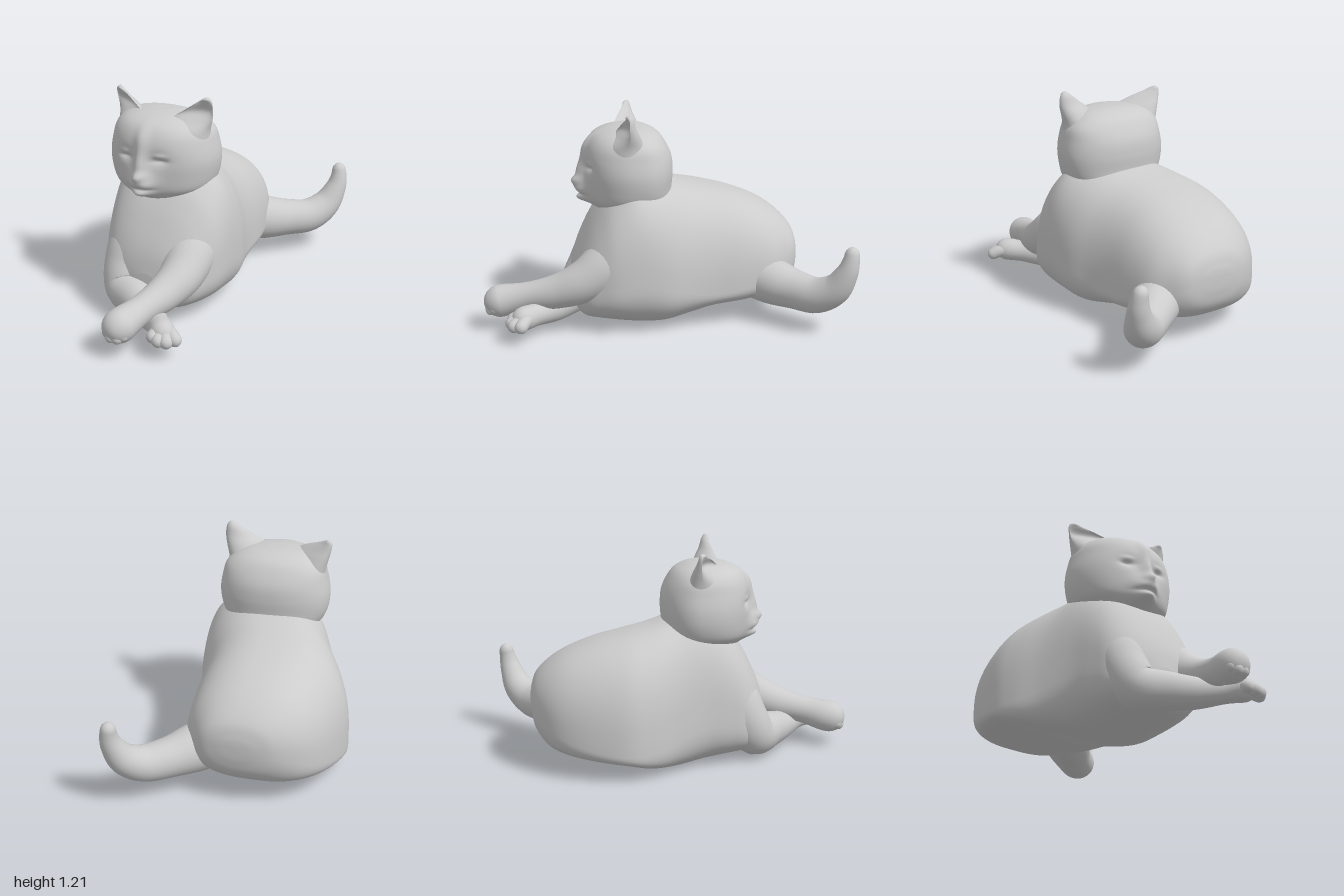
import * as THREE from 'three';

const material = new THREE.MeshStandardMaterial({ color: 0xcccccc });

// Smoothly interpolated row of a table, t in 0..1
function rowAt(rows, t) {
  const f = t * (rows.length - 1);
  const i = Math.min(Math.floor(f), rows.length - 2);
  const u = f - i;
  const a = rows[Math.max(i - 1, 0)], b = rows[i], c = rows[i + 1];
  const d = rows[Math.min(i + 2, rows.length - 1)];
  return b.map((p1, k) => {
    const m1 = (c[k] - a[k]) / 2, m2 = (d[k] - p1) / 2, e = c[k] - p1;
    return p1 + u * (m1 + u * (3 * e - 2 * m1 - m2 + u * (m1 + m2 - 2 * e)));
  });
}

// Closed smooth skin over rings of points; winding is fixed by signed volume
function skin(name, rings) {
  const n = rings[0].length, pos = [], idx = [];
  rings.forEach(r => r.forEach(p => pos.push(p.x, p.y, p.z)));
  for (let i = 0; i < rings.length - 1; i++) {
    for (let j = 0; j < n; j++) {
      const a = i * n + j, b = i * n + (j + 1) % n;
      idx.push(a, b, a + n, b, b + n, a + n);
    }
  }
  [0, rings.length - 1].forEach(i => {
    const c = new THREE.Vector3();
    rings[i].forEach(p => c.addScaledVector(p, 1 / n));
    const ci = pos.length / 3;
    pos.push(c.x, c.y, c.z);
    for (let j = 0; j < n; j++) {
      const a = i * n + j, b = i * n + (j + 1) % n;
      if (i === 0) idx.push(ci, b, a); else idx.push(ci, a, b);
    }
  });
  const v = k => new THREE.Vector3().fromArray(pos, k * 3);
  let volume = 0;
  for (let k = 0; k < idx.length; k += 3) volume += v(idx[k]).dot(v(idx[k + 1]).cross(v(idx[k + 2])));
  if (volume < 0) idx.reverse();
  const g = new THREE.BufferGeometry();
  g.setAttribute('position', new THREE.Float32BufferAttribute(pos, 3));
  g.setIndex(idx);
  g.computeVertexNormals();
  const mesh = new THREE.Mesh(g, material);
  mesh.name = name;
  return mesh;
}

// Rings from a table of cross-sections; place(row, cos, sin) gives each point
function loft(name, rows, steps, sides, place) {
  const rings = [];
  for (let i = 0; i <= steps; i++) {
    const row = rowAt(rows, i / steps), ring = [];
    for (let j = 0; j < sides; j++) {
      const a = (j / sides) * Math.PI * 2;
      ring.push(place(row, Math.cos(a), Math.sin(a)));
    }
    rings.push(ring);
  }
  return skin(name, rings);
}

// Round limb along points [x, y, z, radius], with a rounded far end
function limb(name, pts, steps = 56, sides = 28) {
  const at = t => rowAt(pts, t);
  const end = new THREE.Vector3(...pts[pts.length - 1].slice(0, 3));
  const normal = new THREE.Vector3(0.1, 1, 0.15), rings = [];
  for (let i = 0; i <= steps; i++) {
    const t = Math.sin((Math.PI / 2) * (i / steps));
    const row = at(t), p = new THREE.Vector3(row[0], row[1], row[2]);
    const q0 = at(Math.max(t - 0.01, 0)), q1 = at(Math.min(t + 0.01, 1));
    const tan = new THREE.Vector3(q1[0] - q0[0], q1[1] - q0[1], q1[2] - q0[2]).normalize();
    normal.addScaledVector(tan, -normal.dot(tan)).normalize();
    const side = tan.clone().cross(normal);
    const s = Math.min(p.distanceTo(end) / row[3], 1);
    const r = Math.max(row[3] * Math.sqrt(1 - (1 - s) ** 2), 0.001);
    rings.push(Array.from({ length: sides }, (_, j) => {
      const a = (j / sides) * Math.PI * 2;
      return p.clone().addScaledVector(normal, r * Math.cos(a)).addScaledVector(side, r * Math.sin(a));
    }));
  }
  return skin(name, rings);
}

const power = (v, n) => Math.sign(v) * Math.abs(v) ** (2 / n);

// Face relief: offset from the nose line, y, spread x, spread y, height
const eye = side => [
  [side * 0.10, 0.90, 0.05, 0.035, -0.022],
  [side * 0.105, 0.915, 0.036, 0.016, 0.016],
  [side * 0.105, 0.888, 0.036, 0.008, -0.008],
  [side * 0.04, 0.755, 0.032, 0.024, 0.012],
];
const relief = [
  [0, 0.765, 0.085, 0.06, 0.052],  // muzzle
  [0, 0.86, 0.034, 0.075, 0.04],   // nose bridge
  [0, 1.0, 0.036, 0.07, 0.02],     // brow ridge
  [0, 0.805, 0.036, 0.024, 0.022], // nose tip
  [0, 0.732, 0.06, 0.009, -0.012], // mouth
  [0, 0.70, 0.06, 0.026, 0.05],    // chin
  ...eye(-1), ...eye(1),
];
const faceHeight = (x, y) => relief.reduce((sum, [dx, cy, sx, sy, h]) =>
  sum + h * Math.exp(-(((x + 0.089 - dx) / sx) ** 2 + ((y - cy) / sy) ** 2)), 0);

export function createModel() {
  const cat = new THREE.Group();
  cat.name = 'lyingCat';

  // Torso: z, left edge, centre x, right edge, bottom, centre y, top, squareness above and at the lower left
  cat.add(loft('torso', [
    [-0.801, -0.12, -0.10, -0.08, 0.35, 0.37, 0.385, 2.2, 2.2],
    [-0.795, -0.21, -0.10, 0.01, 0.28, 0.36, 0.43, 2.2, 2.3],
    [-0.77, -0.31, -0.11, 0.10, 0.20, 0.34, 0.50, 2.3, 2.6],
    [-0.70, -0.42, -0.13, 0.17, 0.13, 0.30, 0.575, 2.3, 3.2],
    [-0.60, -0.50, -0.15, 0.23, 0.105, 0.26, 0.64, 2.35, 4],
    [-0.45, -0.56, -0.15, 0.255, 0.09, 0.22, 0.70, 2.45, 5],
    [-0.28, -0.59, -0.15, 0.265, 0.075, 0.20, 0.745, 2.5, 6],
    [-0.15, -0.555, -0.13, 0.285, 0.035, 0.22, 0.775, 2.5, 5],
    [0.00, -0.47, -0.08, 0.325, 0.003, 0.26, 0.815, 2.6, 3.5],
    [0.15, -0.40, -0.05, 0.335, 0.01, 0.30, 0.835, 2.8, 3],
    [0.28, -0.36, -0.05, 0.325, 0.03, 0.28, 0.75, 2.7, 3],
    [0.37, -0.33, -0.05, 0.29, 0.045, 0.25, 0.63, 2.5, 3],
    [0.44, -0.28, -0.05, 0.24, 0.06, 0.22, 0.49, 2.4, 3],
    [0.48, -0.20, -0.03, 0.16, 0.10, 0.22, 0.38, 2.3, 2.6],
    [0.50, -0.08, -0.03, 0.03, 0.18, 0.22, 0.27, 2.2, 2.2],
  ], 98, 72, ([z, xl, cx, xr, yb, cy, yt, nTop, nLow], c, s) => {
    const n = s > 0 ? nTop : c < 0 ? nLow : 2.5;
    return new THREE.Vector3(
      cx + power(c, n) * (c > 0 ? xr - cx : cx - xl),
      cy + power(s, n) * (s > 0 ? yt - cy : cy - yb), z);
  }));

  // Head: y, centre x, half width, back, centre z, front
  const head = new THREE.Group();
  head.name = 'head';
  head.add(loft('skull', [
    [0.60, -0.07, 0.12, 0.02, 0.14, 0.28],
    [0.645, -0.07, 0.18, -0.03, 0.14, 0.335],
    [0.68, -0.072, 0.235, -0.06, 0.14, 0.37],
    [0.72, -0.072, 0.277, -0.075, 0.14, 0.393],
    [0.79, -0.074, 0.302, -0.075, 0.13, 0.405],
    [0.87, -0.073, 0.309, -0.08, 0.13, 0.412],
    [0.95, -0.073, 0.296, -0.072, 0.13, 0.41],
    [1.02, -0.075, 0.275, -0.04, 0.13, 0.39],
    [1.07, -0.08, 0.225, 0.0, 0.14, 0.35],
    [1.10, -0.08, 0.15, 0.06, 0.15, 0.28],
    [1.112, -0.08, 0.05, 0.12, 0.16, 0.20],
  ], 110, 140, ([y, cx, w, zb, zc, zf], c, s) => {
    const x = cx + w * power(c, 2.15);
    const z = zc + power(s, 2.15) * (s > 0 ? zf - zc : zc - zb);
    return new THREE.Vector3(x, y, z + faceHeight(x, y) * THREE.MathUtils.smoothstep(s, 0.2, 0.7));
  }));

  // Ears: y, inner x, outer x, inner z, outer z, depth, front bulge (negative = hollow)
  const ear = (name, rows) => head.add(loft(name, rows, 36, 40,
    ([y, xi, xo, zi, zo, d, bulge], c, s) => new THREE.Vector3(
      (xi + xo) / 2 + c * (xo - xi) / 2, y,
      (zi + zo) / 2 + c * (zo - zi) / 2 + d * s * (s > 0 ? bulge : 1))));
  ear('leftEar', [
    [0.96, -0.04, 0.205, 0.25, 0.19, 0.12, 0.9],
    [1.03, -0.03, 0.207, 0.25, 0.19, 0.11, 0.8],
    [1.09, 0.01, 0.222, 0.245, 0.195, 0.085, 0.25],
    [1.14, 0.08, 0.23, 0.23, 0.20, 0.055, -0.3],
    [1.185, 0.142, 0.226, 0.21, 0.20, 0.032, 0.1],
    [1.207, 0.174, 0.215, 0.205, 0.20, 0.018, 0.8],
    [1.216, 0.188, 0.204, 0.20, 0.20, 0.006, 1],
  ]);
  ear('rightEar', [
    [0.95, -0.12, -0.352, 0.24, 0.13, 0.12, 0.9],
    [1.02, -0.12, -0.362, 0.24, 0.125, 0.11, 0.8],
    [1.08, -0.16, -0.376, 0.235, 0.12, 0.085, 0.25],
    [1.125, -0.235, -0.388, 0.20, 0.12, 0.055, -0.3],
    [1.16, -0.31, -0.393, 0.16, 0.12, 0.032, 0.1],
    [1.179, -0.347, -0.388, 0.135, 0.12, 0.018, 0.8],
    [1.187, -0.361, -0.377, 0.125, 0.12, 0.006, 1],
  ]);
  cat.add(head);

  // Front legs, the left one crossing over the right one
  cat.add(limb('leftFrontLeg', [
    [0.12, 0.46, 0.10, 0.12], [0.155, 0.39, 0.28, 0.15], [0.172, 0.295, 0.45, 0.12],
    [0.14, 0.235, 0.60, 0.096], [0.09, 0.20, 0.76, 0.078], [0.05, 0.17, 0.89, 0.09],
    [0.045, 0.155, 0.998, 0.088],
  ]));
  cat.add(limb('rightFrontLeg', [
    [-0.14, 0.44, 0.14, 0.12], [-0.18, 0.38, 0.29, 0.145], [-0.20, 0.24, 0.38, 0.13],
    [-0.17, 0.14, 0.44, 0.12], [-0.06, 0.125, 0.525, 0.105], [0.06, 0.115, 0.62, 0.085],
    [0.17, 0.12, 0.72, 0.064], [0.235, 0.125, 0.79, 0.066], [0.275, 0.115, 0.85, 0.06],
  ]));

  // Toes: tip positions, each grown from the middle of its paw
  const toes = (name, [x, y, z], r, tips) => tips.forEach(([tx, ty, tz]) => cat.add(limb(name, [
    [x, y, z, r], [(x + tx) / 2, (y + ty) / 2 + 0.012, (z + tz) / 2, r], [tx, ty, tz, r],
  ], 16, 16)));
  toes('leftToe', [0.045, 0.15, 0.88], 0.034,
    [[-0.015, 0.12, 0.965], [0.022, 0.105, 0.985], [0.066, 0.105, 0.985], [0.102, 0.12, 0.965]]);
  toes('rightToe', [0.225, 0.13, 0.75], 0.036,
    [[0.205, 0.10, 0.88], [0.252, 0.09, 0.892], [0.305, 0.088, 0.88], [0.348, 0.092, 0.835]]);

  // Tail, curling up at the tip
  cat.add(limb('tail', [
    [0.00, 0.27, -0.44, 0.12], [0.10, 0.245, -0.55, 0.135], [0.19, 0.225, -0.63, 0.13],
    [0.29, 0.21, -0.72, 0.11], [0.40, 0.21, -0.81, 0.10], [0.48, 0.27, -0.89, 0.085],
    [0.525, 0.37, -0.935, 0.062], [0.535, 0.45, -0.955, 0.046], [0.525, 0.52, -0.965, 0.036],
  ]));
  return cat;
}
